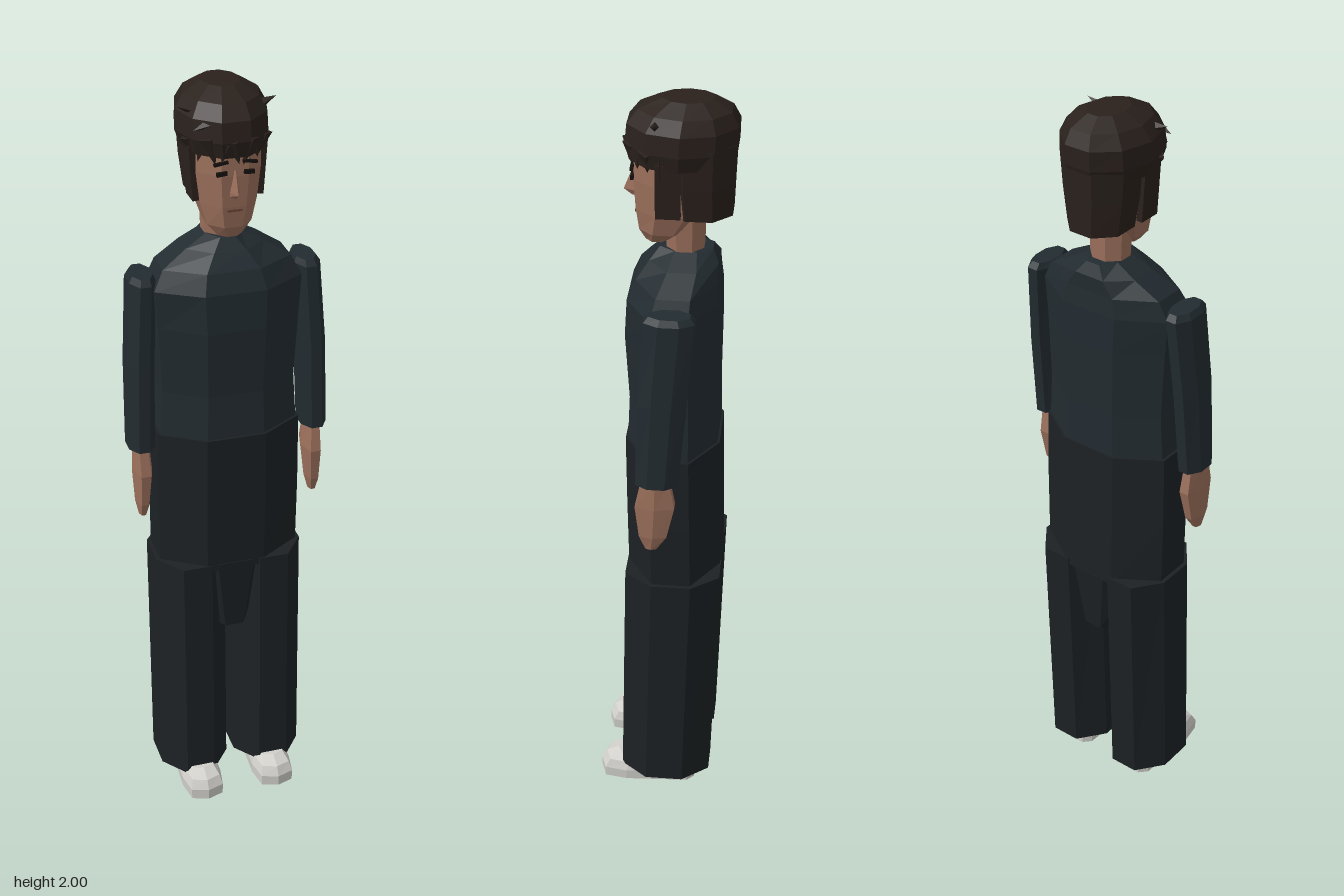
import * as THREE from 'three';

const mat = (color) => new THREE.MeshStandardMaterial({ color, flatShading: true });

// Polygon outline with a flat front, touching +-1 on the flats
function ngon(n) {
  const r = 1 / Math.cos(Math.PI / n);
  return Array.from({ length: n }, (_, i) => {
    const a = ((i + 0.5) * 2 * Math.PI) / n;
    return [Math.sin(a) * r, Math.cos(a) * r];
  });
}

// Capped loft through an [x, z] outline; sections run upward as [y, cx, cz, rx, rz]
function loft(name, material, outline, sections) {
  const rings = sections.map(([y, cx, cz, rx, rz]) =>
    outline.map(([x, z]) => [cx + x * rx, y, cz + z * rz]));
  const n = outline.length, top = rings.length - 1, pos = [];
  const tri = (...pts) => pts.forEach((p) => pos.push(...p));
  const mid = (s) => [s[1], s[0], s[2]];
  for (let i = 0; i < n; i++) {
    const j = (i + 1) % n;
    for (let k = 0; k < top; k++) {
      const a = rings[k], b = rings[k + 1];
      tri(a[i], a[j], b[j]);
      tri(a[i], b[j], b[i]);
    }
    tri(mid(sections[0]), rings[0][j], rings[0][i]);
    tri(mid(sections[top]), rings[top][i], rings[top][j]);
  }
  const geo = new THREE.BufferGeometry();
  geo.setAttribute('position', new THREE.Float32BufferAttribute(pos, 3));
  geo.computeVertexNormals();
  const mesh = new THREE.Mesh(geo, material);
  mesh.name = name;
  return mesh;
}

export function createModel() {
  const model = new THREE.Group();
  model.name = 'standingFigure';
  const shirt = mat(0x222b30), trousers = mat(0x1c2124), skin = mat(0x9c705c);
  const hair = mat(0x2a211c), shoeMat = mat(0xd0cfca), dark = mat(0x14100e);
  const oct = ngon(8), hex = ngon(6), deca = ngon(10);
  const add = (...args) => model.add(loft(...args));
  const box = (name, material, size, at, tilt = 0) => {
    const m = new THREE.Mesh(new THREE.BoxGeometry(...size), material);
    m.name = name;
    m.position.set(...at);
    m.rotation.z = tilt;
    model.add(m);
  };

  // Torso and hips
  add('shirt', shirt, oct, [
    [1.08, 0, -0.022, 0.182, 0.115], [1.22, 0, -0.024, 0.174, 0.111],
    [1.4, 0, -0.02, 0.182, 0.117], [1.5, 0, -0.022, 0.19, 0.113],
    [1.55, 0, -0.03, 0.165, 0.1], [1.59, 0, -0.045, 0.1, 0.085], [1.62, 0, -0.05, 0.045, 0.065],
  ]);
  add('hips', trousers, oct, [
    [0.7, 0, -0.028, 0.188, 0.121], [0.9, 0, -0.025, 0.19, 0.121], [1.1, 0, -0.022, 0.188, 0.12],
  ]);
  add('crotch', trousers, oct, [[0.51, 0, -0.025, 0.06, 0.105], [0.72, 0, -0.027, 0.12, 0.122]]);

  // Limbs, mirrored
  const shoeOutline = [[0, 0.175], [0.045, 0.16], [0.055, 0.1], [0.045, -0.07], [0.025, -0.09],
    [-0.025, -0.09], [-0.045, -0.07], [-0.055, 0.1], [-0.045, 0.16]];
  for (const s of [1, -1]) {
    const side = s > 0 ? 'left' : 'right';
    add(side + 'TrouserLeg', trousers, oct, [
      [0.05, s * 0.105, -0.01, 0.094, 0.121], [0.72, s * 0.105, -0.028, 0.094, 0.124],
    ]);
    add(side + 'Sleeve', shirt, oct, [
      [1.07, s * 0.231, 0.003, 0.034, 0.053], [1.3, s * 0.226, -0.01, 0.035, 0.06],
      [1.52, s * 0.213, -0.027, 0.034, 0.062], [1.535, s * 0.211, -0.027, 0.026, 0.05],
    ]);
    add(side + 'Hand', skin, hex, [
      [0.87, s * 0.232, 0.018, 0.009, 0.014], [0.91, s * 0.231, 0.013, 0.017, 0.035],
      [1.0, s * 0.229, 0.008, 0.023, 0.05], [1.08, s * 0.231, 0.006, 0.019, 0.035],
    ]);
    add(side + 'Shoe', shoeMat, shoeOutline, [
      [0, s * 0.102, 0, 0.98, 1], [0.03, s * 0.102, 0, 1, 1],
      [0.055, s * 0.102, 0, 0.86, 0.92], [0.072, s * 0.102, 0, 0.65, 0.72],
    ]);
    // Face details and ears
    box(side + 'Eye', dark, [0.026, 0.01, 0.008], [s * 0.034, 1.81, 0.079], s * -0.1);
    box(side + 'Eyebrow', dark, [0.036, 0.007, 0.008], [s * 0.036, 1.836, 0.079], s * -0.15);
    box(side + 'Sideburn', hair, [0.022, 0.14, 0.06], [s * 0.083, 1.795, -0.01], s * -0.07);
  }

  // Neck, head and face
  add('neck', skin, oct, [[1.6, 0, -0.047, 0.046, 0.045], [1.74, 0, -0.045, 0.052, 0.05]]);
  add('head', skin, oct, [
    [1.635, 0, 0.022, 0.03, 0.028], [1.665, 0, 0.005, 0.056, 0.06],
    [1.72, 0, -0.014, 0.072, 0.086], [1.8, 0, -0.02, 0.082, 0.097], [1.9, 0, -0.025, 0.084, 0.1],
  ]);
  add('nose', skin, [[0, 1], [1, -1], [-1, -1]], [
    [1.745, 0, 0.075, 0.015, 0.01], [1.76, 0, 0.083, 0.017, 0.021], [1.815, 0, 0.073, 0.007, 0.009],
  ]);
  box('mouth', mat(0x6e4639), [0.038, 0.006, 0.006], [0, 1.712, 0.072]);

  // Hair: full crown above a narrower back
  add('crownHair', hair, deca, [
    [1.85, 0, -0.035, 0.098, 0.122], [1.89, -0.002, -0.037, 0.11, 0.134],
    [1.94, -0.002, -0.04, 0.108, 0.132], [1.975, 0, -0.045, 0.088, 0.11], [2, 0, -0.05, 0.045, 0.06],
  ]);
  add('backHair', hair, oct, [
    [1.715, 0, -0.083, 0.076, 0.078], [1.8, 0, -0.08, 0.088, 0.084], [1.9, 0, -0.08, 0.095, 0.088],
  ]);
  // Jagged fringe and loose tufts
  for (let i = 0; i < 9; i++) {
    const a = (i - 4) * 0.3;
    const lock = new THREE.Mesh(new THREE.ConeGeometry(0.022, 0.05 + 0.012 * (i % 3), 4), hair);
    lock.name = 'fringeLock';
    lock.position.set(Math.sin(a) * 0.095, 1.862, -0.035 + Math.cos(a) * 0.12);
    lock.rotation.set(Math.PI, 0, (i % 2 ? 1 : -1) * 0.25);
    model.add(lock);
  }
  for (const [x, y, z, tilt] of [[-0.1, 1.955, 0.01, 1.3], [0.095, 1.96, 0.02, -1.2], [-0.075, 1.925, 0.06, 1.9]]) {
    const tuft = new THREE.Mesh(new THREE.ConeGeometry(0.016, 0.05, 4), hair);
    tuft.name = 'hairTuft';
    tuft.position.set(x, y, z);
    tuft.rotation.z = tilt;
    model.add(tuft);
  }
  return model;
}
